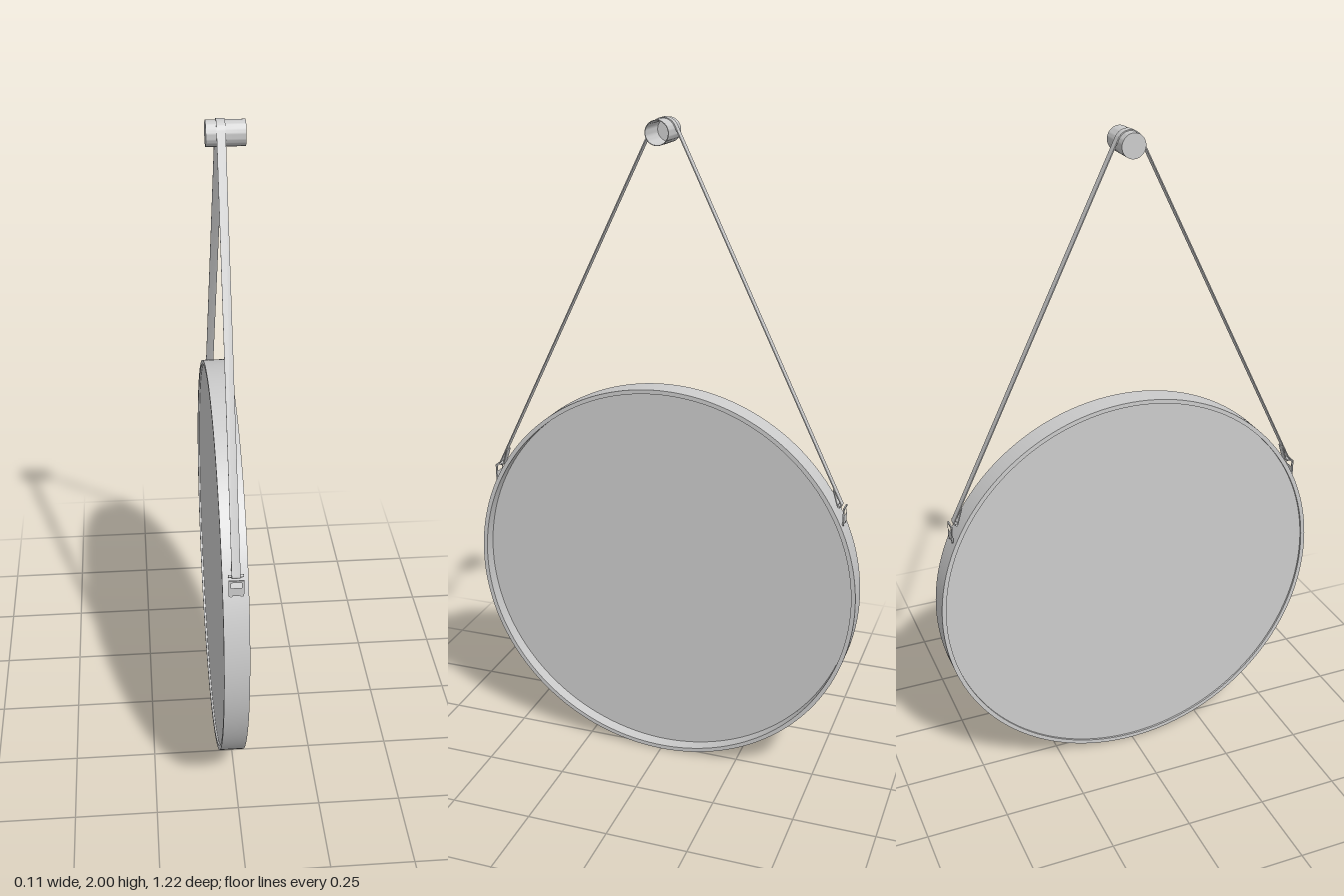
import * as THREE from 'three';
import { toCreasedNormals } from 'three/addons/utils/BufferGeometryUtils.js';

const RADIUS = 0.61, CENTER_Y = 0.61;
const PEG_Y = 1.962, PEG_R = 0.035, STRAP_X = -0.015;

export function createModel() {
  const model = new THREE.Group();
  const grey = new THREE.MeshStandardMaterial({ color: 0xcccccc });
  const greyDouble = new THREE.MeshStandardMaterial({ color: 0xcccccc, side: THREE.DoubleSide });

  const add = (name, geometry, material = grey) => {
    const mesh = new THREE.Mesh(geometry, material);
    mesh.name = name;
    model.add(mesh);
    return mesh;
  };

  // Extrudes a (z, y) outline along x between x0 and x1
  const extrudeX = (shape, x0, x1) => {
    const geo = new THREE.ExtrudeGeometry(shape, { depth: x1 - x0, bevelEnabled: false, curveSegments: 96 });
    geo.rotateY(Math.PI / 2).translate(x0, 0, 0);
    return toCreasedNormals(geo, 0.5);
  };

  const disc = (r, hole) => {
    const shape = new THREE.Shape().absarc(0, 0, r, 0, Math.PI * 2);
    if (hole) shape.holes.push(new THREE.Path().absarc(0, 0, hole, 0, Math.PI * 2));
    return shape;
  };

  // Round frame, with the mirror panel set close to its -x edge
  add('frame', extrudeX(disc(RADIUS, 0.597), -0.052, 0.02)).position.y = CENTER_Y;
  add('mirrorPanel', extrudeX(disc(0.598), -0.046, -0.02)).position.y = CENTER_Y;

  // Wall peg: a hollow cup, open towards +x
  const pegProfile = [[0, -0.055], [PEG_R, -0.055], [PEG_R, 0.052], [PEG_R - 0.002, 0.052], [PEG_R - 0.002, -0.05], [0, -0.05]];
  const pegGeo = new THREE.LatheGeometry(pegProfile.map(([r, h]) => new THREE.Vector2(r, h)), 40);
  pegGeo.rotateZ(-Math.PI / 2);
  add('peg', toCreasedNormals(pegGeo, 0.5), greyDouble).position.y = PEG_Y;

  // Ribbon of constant thickness following a path in the (z, y) plane
  const ribbon = (path, thickness, width) => {
    const sides = [1, -1].map(s => path.map((p, i) => {
      const t = path[Math.min(i + 1, path.length - 1)].clone().sub(path[Math.max(i - 1, 0)]).normalize();
      return new THREE.Vector2(-t.y, t.x).multiplyScalar(s * thickness / 2).add(p);
    }));
    return extrudeX(new THREE.Shape([...sides[0], ...sides[1].reverse()]), STRAP_X - width / 2, STRAP_X + width / 2);
  };

  // Half of the strap: over the peg, down the leg, folded back through the buckle
  const angle = 0.454, strapR = PEG_R + 0.0015;
  const n = new THREE.Vector2(Math.cos(angle), Math.sin(angle));
  const d = new THREE.Vector2(n.y, -n.x);
  const half = [];
  for (let i = 0; i <= 10; i++) {
    const a = Math.PI / 2 + (angle - Math.PI / 2) * i / 10;
    half.push(new THREE.Vector2(Math.cos(a) * strapR, PEG_Y + Math.sin(a) * strapR));
  }
  const legEnd = half[10].clone().addScaledVector(d, 1.175);
  const bend = legEnd.clone().addScaledVector(n, -0.006);
  for (let i = 0; i <= 8; i++) {
    const a = Math.PI * i / 8;
    half.push(bend.clone().addScaledVector(n, 0.006 * Math.cos(a)).addScaledVector(d, 0.006 * Math.sin(a)));
  }
  half.push(bend.clone().addScaledVector(d, -0.05).addScaledVector(n, 0.002));
  const mirrored = half.slice(1).reverse().map(p => new THREE.Vector2(-p.x, p.y));
  add('strap', ribbon([...mirrored, ...half], 0.003, 0.024));

  // Buckles holding the strap ends against the frame
  const plate = new THREE.Shape([
    [-0.021, 0.028], [0.021, 0.028], [0.021, -0.022], [0.014, -0.028],
    [0.010, -0.021], [-0.010, -0.021], [-0.014, -0.028], [-0.021, -0.022],
  ].map(([x, y]) => new THREE.Vector2(x, y)));
  plate.holes.push(new THREE.Path([[-0.015, 0.005], [-0.015, 0.022], [0.015, 0.022], [0.015, 0.005]]
    .map(([x, y]) => new THREE.Vector2(x, y))));
  const plateGeo = new THREE.ExtrudeGeometry(plate, { depth: 0.004, bevelEnabled: false });
  const barGeo = new THREE.CylinderGeometry(0.004, 0.004, 0.042, 12).rotateZ(Math.PI / 2);
  for (const side of [1, -1]) {
    const buckle = new THREE.Group();
    buckle.name = side > 0 ? 'frontBuckle' : 'backBuckle';
    const body = new THREE.Mesh(plateGeo, grey);
    body.name = 'bucklePlate';
    body.position.set(STRAP_X, 0.887, 0.556);
    const bar = new THREE.Mesh(barGeo, grey);
    bar.name = 'buckleBar';
    bar.position.set(STRAP_X, bend.y, bend.x);
    buckle.add(body, bar);
    if (side < 0) {
      buckle.rotation.y = Math.PI;
      buckle.position.x = 2 * STRAP_X;
    }
    model.add(buckle);
  }

  return model;
}
